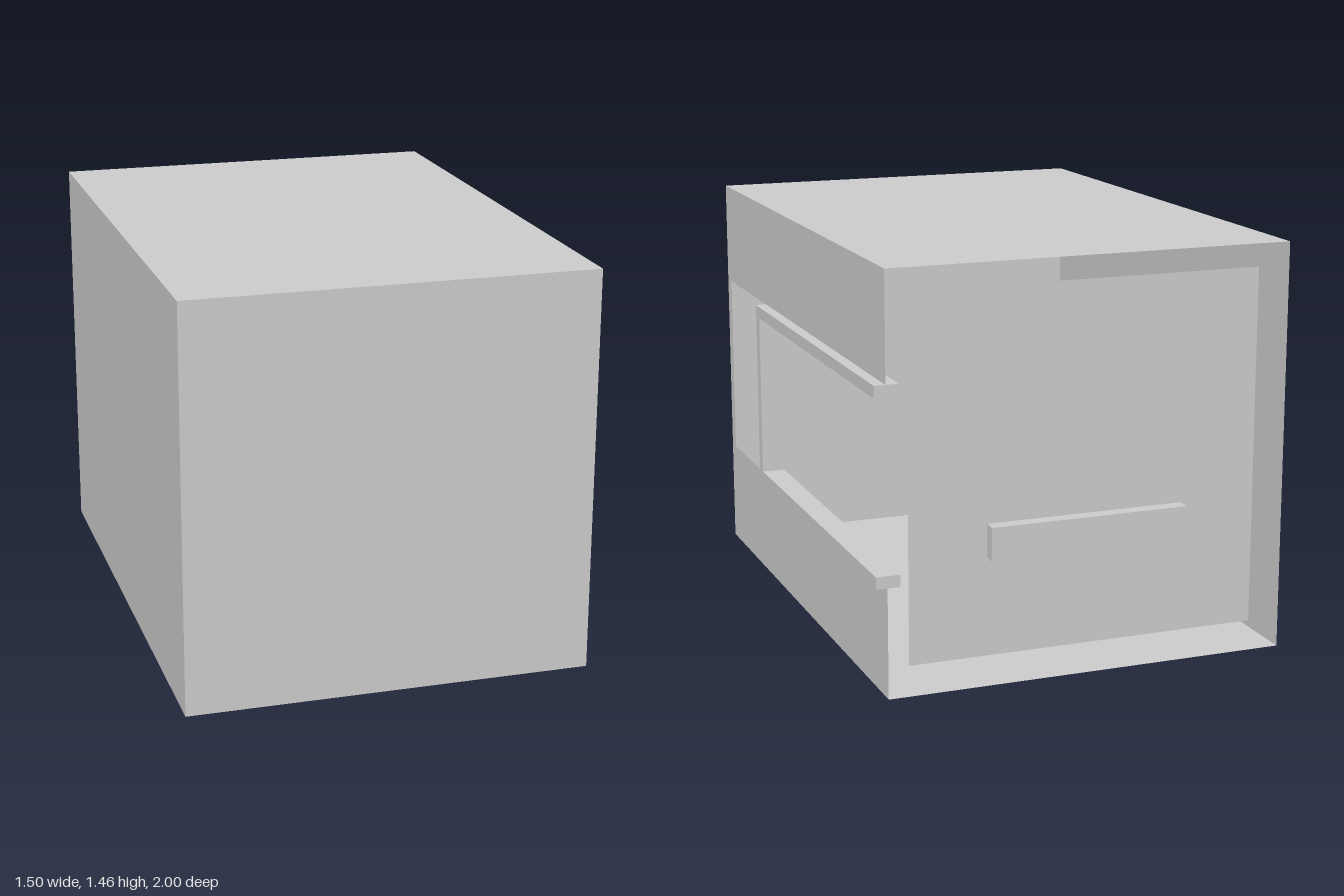
import * as THREE from 'three';

const material = new THREE.MeshStandardMaterial({ color: 0xcccccc, flatShading: true, side: THREE.DoubleSide });

// Overall bounds of the thin-walled shell
const L = -0.75, R = 0.71, H = 1.46, F = 1, B = -1;
const CX = (L + R) / 2;

export function createModel() {
  const group = new THREE.Group();

  const add = (name, geometry) => {
    const mesh = new THREE.Mesh(geometry, material);
    mesh.name = name;
    group.add(mesh);
    return mesh;
  };
  const box = (name, x0, x1, y0, y1, z0, z1) =>
    add(name, new THREE.BoxGeometry(x1 - x0, y1 - y0, z1 - z0))
      .position.set((x0 + x1) / 2, (y0 + y1) / 2, (z0 + z1) / 2);
  const sheet = (name, w, h, position, rx = 0, ry = 0) => {
    const mesh = add(name, new THREE.PlaneGeometry(w, h));
    mesh.position.set(...position);
    mesh.rotation.set(rx, ry, 0);
  };

  // Shell, open at the back
  sheet('frontWall', R - L, H, [CX, H / 2, F]);
  sheet('roof', R - L, F - B, [CX, H, 0], -Math.PI / 2);
  sheet('floor', R - L, F - B, [CX, 0, 0], Math.PI / 2);
  sheet('rightWall', F - B, H, [L, H / 2, 0], 0, -Math.PI / 2);

  // Side wall around the long opening, which runs out to the back edge
  const y0 = 0.39, y1 = 1.08;
  sheet('leftWallLower', F - B, y0, [R, y0 / 2, 0], 0, Math.PI / 2);
  sheet('leftWallUpper', F - B, H - y1, [R, (H + y1) / 2, 0], 0, Math.PI / 2);
  sheet('leftWallFrontStrip', 0.05, y1 - y0, [R, (y0 + y1) / 2, F - 0.025], 0, Math.PI / 2);

  // Sliding frame in the opening: two rails and a post
  const t = 0.043, inner = 0.665, outer = 0.75, front = 0.43;
  box('topRail', inner, outer, y1 - t, y1, B, front);
  box('bottomRail', inner, outer, y0, y0 + t, B, front);
  box('framePost', inner, outer, y0 + t, y1 - t, front - t, front);

  // Back panel, smaller than the shell so a gap runs all round
  sheet('backPanel', 1.28, 1.28, [CX, H / 2, -0.95], 0, Math.PI);

  // Stepped bars rising inward; the lowest passes through the back panel
  for (let i = 0; i < 5; i++) {
    const z = -0.6 - i * 0.08, y = 1.03 - i * 0.118;
    box('stepBar' + (i + 1), -0.38, 0.34, y - 0.118, y, z - 0.08, z);
  }

  return group;
}
